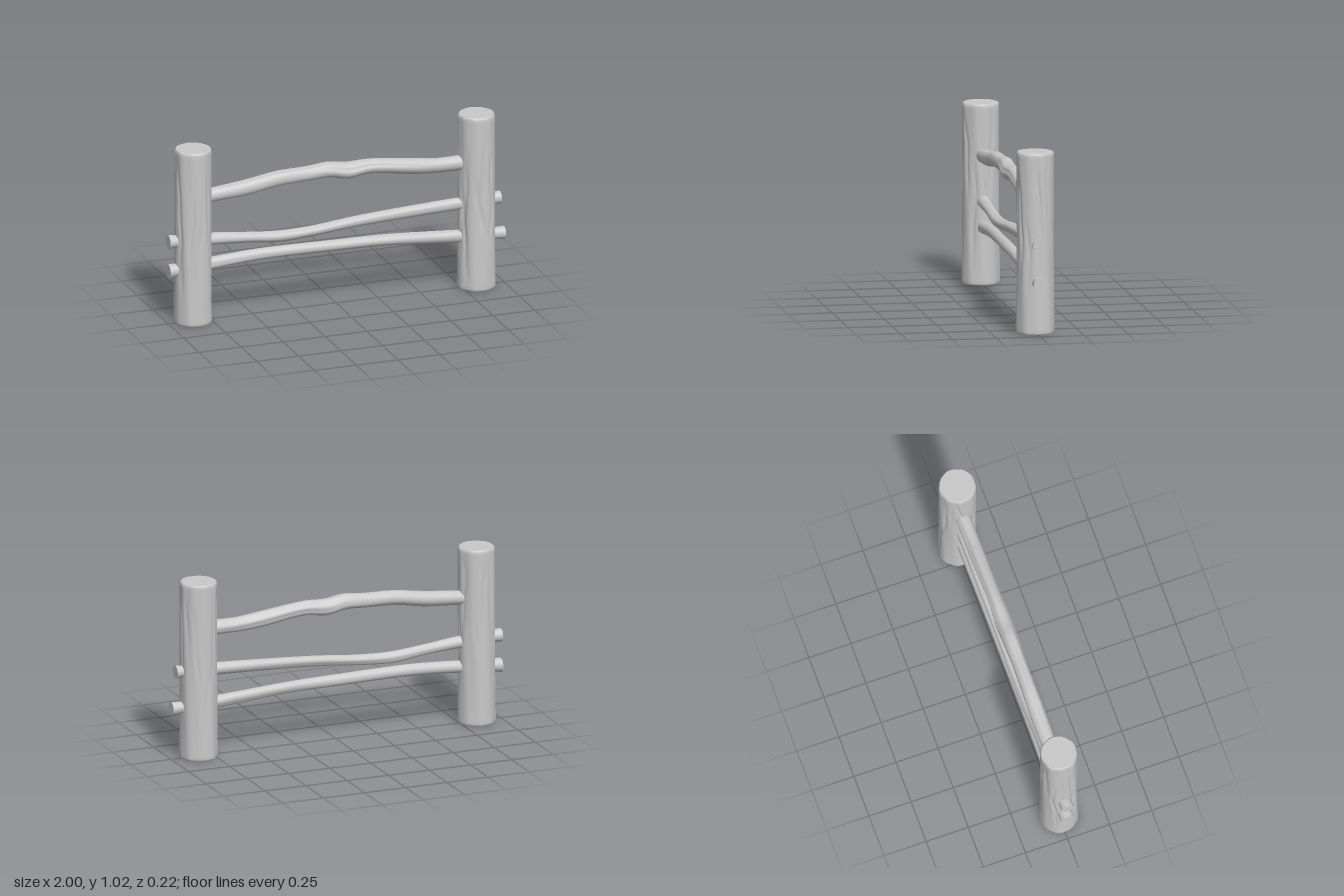
import * as THREE from 'three';

// Small seeded generator for the bark grooves
function seeded(seed) {
  let s = seed;
  return () => (s = (s * 16807) % 2147483647) / 2147483647;
}

// Grooves that wander along a log: angle, start, end, width, depth
function makeGrooves(seed, count, depth) {
  const rnd = seeded(seed);
  for (let i = 0; i < 5; i++) rnd();
  return Array.from({ length: count }, (_, i) => {
    const from = rnd() * 0.6;
    return {
      angle: ((i + rnd() * 0.6) / count) * Math.PI * 2,
      from, to: Math.min(1.02, from + 0.35 + rnd() * 0.5),
      width: 0.06 + rnd() * 0.08, depth: depth * (0.5 + rnd()), phase: rnd() * 6,
    };
  });
}

function grooveDepth(grooves, a, t) {
  let d = 0;
  for (const g of grooves) {
    if (t < g.from || t > g.to) continue;
    const fade = Math.sin(Math.PI * (t - g.from) / (g.to - g.from));
    const mid = g.angle + 0.1 * Math.sin(t * 9 + g.phase) + 0.04 * Math.sin(t * 23 + g.phase);
    const off = Math.atan2(Math.sin(a - mid), Math.cos(a - mid)) / g.width;
    d += g.depth * fade * Math.exp(-off * off);
  }
  return d;
}

// Capped log from cross-sections; u x v must point along the log
function logGeometry(centres, u, v, sides, radiusAt) {
  const pos = [], idx = [];
  const n = centres.length, p = new THREE.Vector3();
  const ring = (i) => {
    for (let j = 0; j < sides; j++) {
      const a = (j / sides) * Math.PI * 2, r = radiusAt(i, a);
      p.copy(centres[i]).addScaledVector(u, r * Math.cos(a)).addScaledVector(v, r * Math.sin(a));
      pos.push(p.x, p.y, p.z);
    }
  };
  for (let i = 0; i < n; i++) ring(i);
  for (let i = 0; i < n - 1; i++) {
    for (let j = 0; j < sides; j++) {
      const k = (j + 1) % sides, a = i * sides, b = a + sides;
      idx.push(a + j, a + k, b + j, a + k, b + k, b + j);
    }
  }
  // Flat sawn ends with their own vertices
  for (const i of [0, n - 1]) {
    const base = pos.length / 3;
    ring(i);
    pos.push(...centres[i].toArray());
    for (let j = 0; j < sides; j++) {
      const k = (j + 1) % sides;
      if (i === 0) idx.push(base + sides, base + k, base + j);
      else idx.push(base + sides, base + j, base + k);
    }
  }
  const g = new THREE.BufferGeometry();
  g.setAttribute('position', new THREE.Float32BufferAttribute(pos, 3));
  g.setIndex(idx);
  g.computeVertexNormals();
  return g;
}

const X = new THREE.Vector3(1, 0, 0), Y = new THREE.Vector3(0, 1, 0), Z = new THREE.Vector3(0, 0, 1);

// Upright post with rounded rims and a slightly flared foot
function postGeometry(x, radius, seed) {
  const height = 1.025, heights = [0, 0.003, 0.01];
  for (let i = 1; i < 56; i++) heights.push(0.01 + (i / 56) * (height - 0.025));
  heights.push(height - 0.013, height - 0.005, height - 0.001, height);
  const grooves = makeGrooves(seed, 13, 0.006);
  const centres = heights.map((y) => new THREE.Vector3(x, y, 0));
  return logGeometry(centres, Z, X, 96, (i, a) => {
    const y = heights[i], t = y / height;
    const rimTop = Math.max(0, 1 - (height - y) / 0.014), rimFoot = Math.max(0, 1 - y / 0.01);
    const rim = 0.008 * rimTop * rimTop + 0.005 * rimFoot * rimFoot;
    const flare = 0.004 * Math.pow(1 - t, 4);
    const wave = 0.0012 * Math.sin(a * 5 + seed + 2 * t) + 0.001 * Math.sin(a * 9 + 5 * t);
    return radius + flare + wave - rim - grooveDepth(grooves, a, t);
  });
}

// Crooked rail through points of [x, y, radius]
function railGeometry(points, seed, depth) {
  const curve = new THREE.CatmullRomCurve3(points.map((p) => new THREE.Vector3(...p)));
  const samples = curve.getPoints(90), last = samples.length - 1;
  const grooves = makeGrooves(seed, 6, depth);
  for (const g of grooves) g.width *= 2.5;
  const centres = samples.map((s) => new THREE.Vector3(s.x, s.y, 0));
  return logGeometry(centres, Y, Z, 36, (i, a) => {
    const t = i / last;
    const wave = 0.03 * Math.sin(a * 3 + 7 * t + seed) + 0.02 * Math.sin(a * 2 - 15 * t);
    return samples[i].z * (1 + wave * Math.sin(Math.PI * t)) - grooveDepth(grooves, a, t);
  });
}

export function createModel() {
  const wood = new THREE.MeshStandardMaterial({ color: 0xc8c8c8 });
  wood.name = 'plain grey wood';
  const group = new THREE.Group();
  group.name = 'fence';
  const add = (name, geometry) => {
    const mesh = new THREE.Mesh(geometry, wood);
    mesh.name = name;
    group.add(mesh);
  };

  add('rightPost', postGeometry(-0.853, 0.104, 11));
  add('leftPost', postGeometry(0.835, 0.105, 47));

  // Arched top rail, ending inside the posts
  add('topRail', railGeometry([
    [-0.84, 0.725, 0.042], [-0.75, 0.735, 0.041], [-0.54, 0.754, 0.045], [-0.355, 0.783, 0.043],
    [-0.18, 0.79, 0.042], [-0.045, 0.797, 0.046], [0.06, 0.78, 0.049], [0.2, 0.788, 0.042],
    [0.46, 0.756, 0.045], [0.6, 0.743, 0.042], [0.735, 0.742, 0.043], [0.83, 0.74, 0.042],
  ], 5, 0.005));

  // Sagging middle rail, passing through both posts
  add('middleRail', railGeometry([
    [-1, 0.486, 0.039], [-0.94, 0.485, 0.035], [-0.75, 0.475, 0.035], [-0.54, 0.457, 0.03],
    [-0.34, 0.438, 0.033], [-0.15, 0.445, 0.031], [0.115, 0.47, 0.031], [0.435, 0.488, 0.033],
    [0.735, 0.5, 0.035], [0.93, 0.507, 0.034], [0.975, 0.508, 0.037],
  ], 19, 0.002));

  // Gently arched lower rail, passing through both posts
  add('lowerRail', railGeometry([
    [-1, 0.311, 0.041], [-0.94, 0.316, 0.037], [-0.75, 0.33, 0.035], [-0.46, 0.347, 0.033],
    [0, 0.343, 0.033], [0.275, 0.338, 0.033], [0.6, 0.316, 0.035], [0.735, 0.306, 0.036],
    [0.93, 0.297, 0.034], [1, 0.295, 0.037],
  ], 31, 0.002));

  return group;
}
